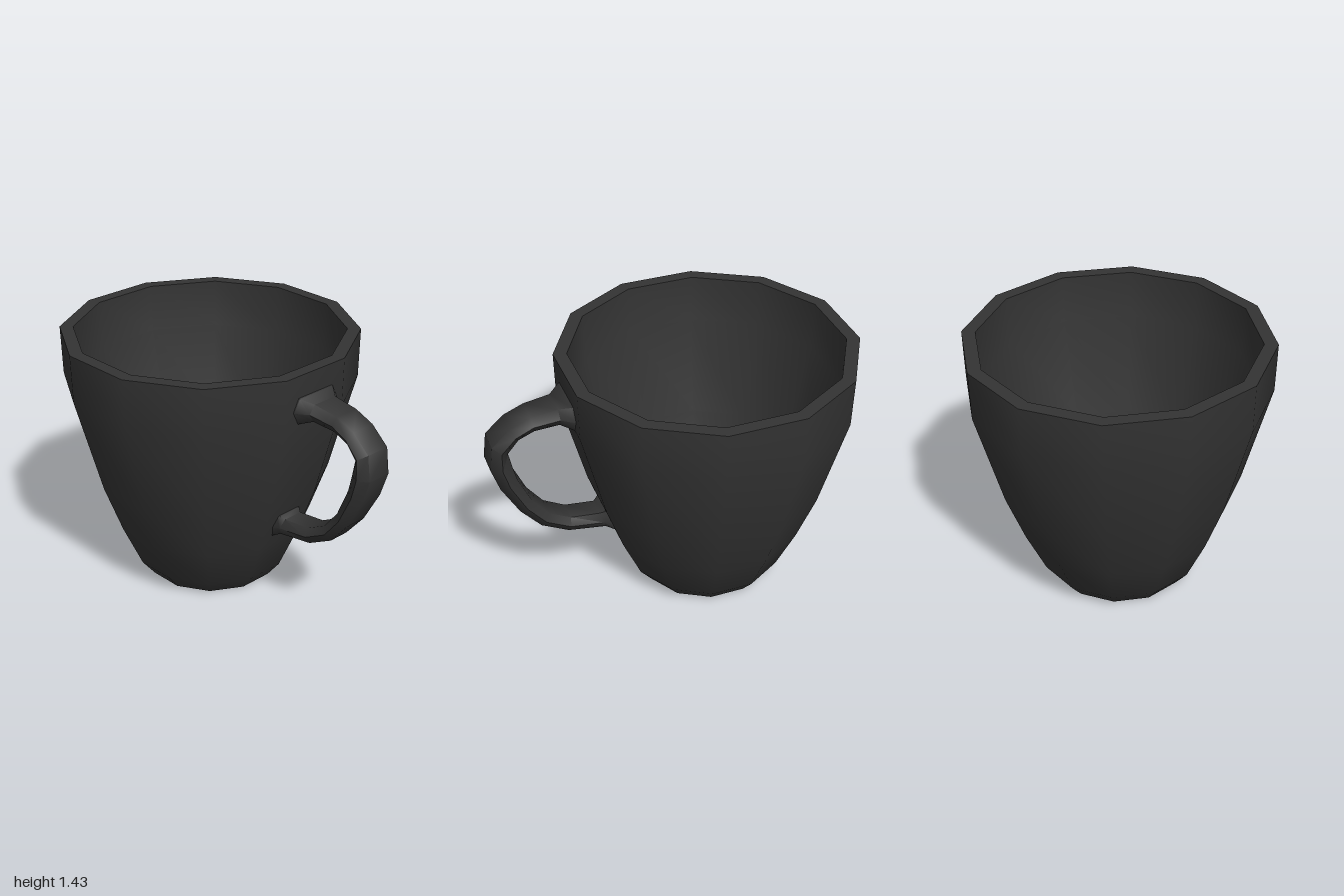
import * as THREE from 'three';
import { toCreasedNormals } from 'three/addons/utils/BufferGeometryUtils.js';

const SIDES = 12;
const CUP_X = -0.22;
const material = new THREE.MeshStandardMaterial({ color: 0x333333 });

// Twelve-sided turned shape; radii are measured to the middle of the flats.
function turned(profile) {
  const k = 1 / Math.cos(Math.PI / SIDES);
  const points = profile.map(([r, y]) => new THREE.Vector2(r * k, y));
  return new THREE.LatheGeometry(points, SIDES, Math.PI / SIDES);
}

// Six-sided tube through sections of [outer x, y, inner x, y, flat half width, side half width].
function hexTube(sections) {
  const positions = [];
  const index = [];
  for (const [ox, oy, ix, iy, flat, side] of sections) {
    const mx = (ox + ix) / 2, my = (oy + iy) / 2;
    positions.push(
      ox, oy, flat, ox, oy, -flat, mx, my, -side,
      ix, iy, -flat, ix, iy, flat, mx, my, side
    );
  }
  for (let s = 0; s < sections.length - 1; s++) {
    for (let i = 0; i < 6; i++) {
      const a = s * 6 + i, b = s * 6 + (i + 1) % 6;
      index.push(a, a + 6, b, b, a + 6, b + 6);
    }
  }
  const geometry = new THREE.BufferGeometry();
  geometry.setAttribute('position', new THREE.Float32BufferAttribute(positions, 3));
  geometry.setIndex(index);
  return toCreasedNormals(geometry, Math.PI / 3);
}

export function createModel() {
  const group = new THREE.Group();
  group.name = 'mug';
  const add = (name, geometry, x = 0) => {
    const mesh = new THREE.Mesh(geometry, material);
    mesh.name = name;
    mesh.position.x = x;
    group.add(mesh);
  };

  // Base, outer wall and flat rim, sharp at the foot and lip
  const outer = turned([
    [0, 0], [0.36, 0], [0.43, 0.09], [0.537, 0.34], [0.635, 0.62],
    [0.774, 1.165], [0.78, 1.433], [0.71, 1.433],
  ]);
  add('outerWall', toCreasedNormals(outer, 0.7), CUP_X);

  // Hollow inside, smoothly rounded into the floor
  add('innerWall', turned([
    [0.71, 1.433], [0.7, 1.165], [0.565, 0.62], [0.47, 0.34], [0.38, 0.12], [0, 0.09],
  ]), CUP_X);

  // Looped handle, flared where it meets the wall
  add('handle', hexTube([
    [0.54, 1.315, 0.53, 1.165, 0.12, 0.155],
    [0.565, 1.31, 0.56, 1.17, 0.12, 0.155],
    [0.625, 1.285, 0.62, 1.19, 0.075, 0.108],
    [0.77, 1.265, 0.755, 1.18, 0.07, 0.1],
    [0.88, 1.22, 0.84, 1.145, 0.07, 0.105],
    [0.98, 1.13, 0.9, 1.075, 0.07, 0.108],
    [0.998, 0.99, 0.883, 0.985, 0.07, 0.105],
    [0.955, 0.855, 0.86, 0.89, 0.067, 0.1],
    [0.86, 0.68, 0.79, 0.73, 0.063, 0.093],
    [0.75, 0.55, 0.705, 0.62, 0.06, 0.088],
    [0.6, 0.47, 0.585, 0.555, 0.058, 0.085],
    [0.39, 0.437, 0.42, 0.537, 0.058, 0.085],
    [0.335, 0.41, 0.385, 0.56, 0.08, 0.103],
    [0.31, 0.405, 0.36, 0.56, 0.08, 0.103],
  ]));

  return group;
}
